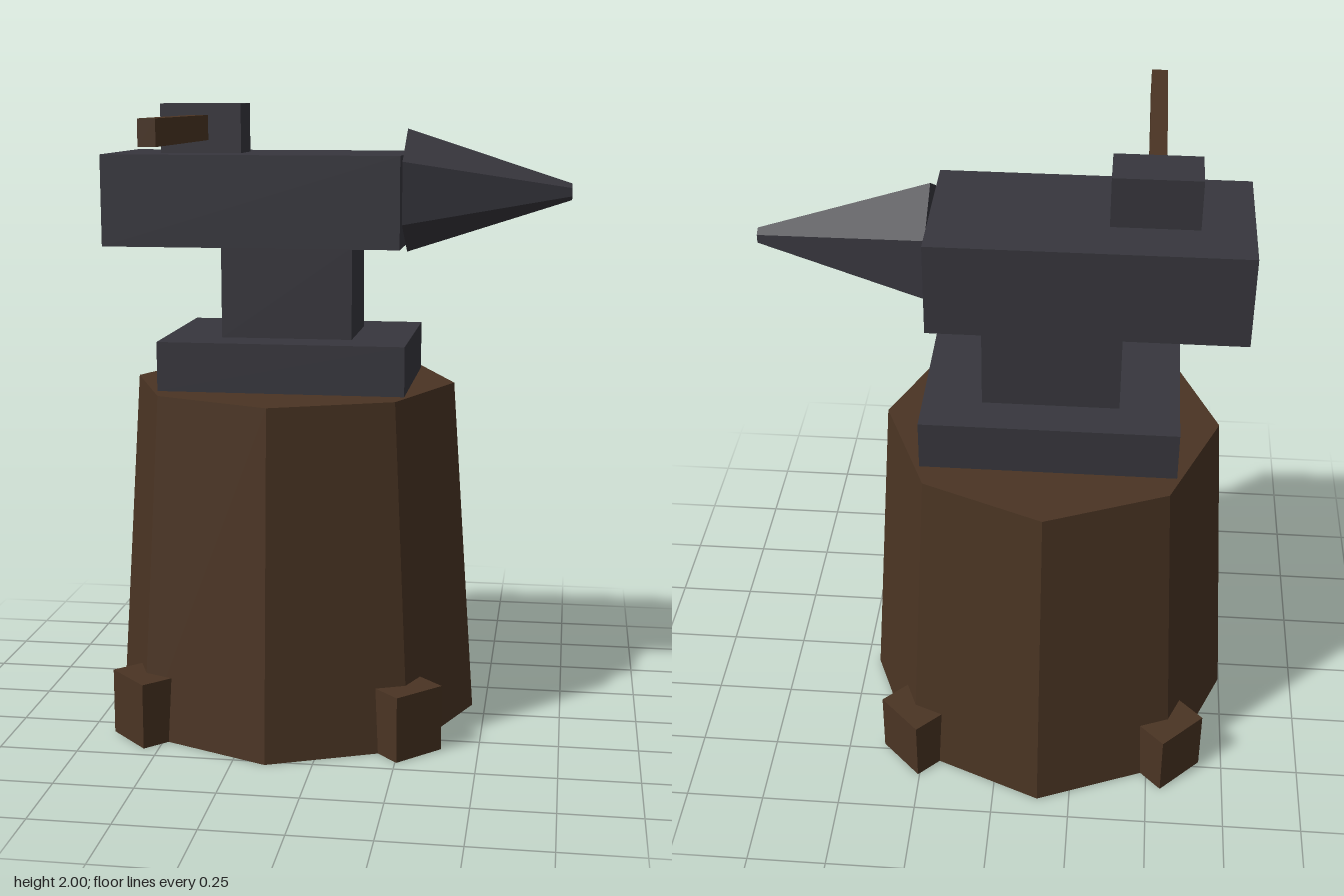
import * as THREE from 'three';

export function createModel() {
  const model = new THREE.Group();
  const wood = new THREE.MeshStandardMaterial({ color: 0x4a3423, flatShading: true });
  wood.name = 'dark wood';
  const iron = new THREE.MeshStandardMaterial({ color: 0x37363d, flatShading: true });
  iron.name = 'dark iron';

  const cx = -0.146, cz = -0.078; // shared vertical axis of stump and anvil

  const add = (name, geometry, material, x, y, z) => {
    const mesh = new THREE.Mesh(geometry, material);
    mesh.name = name;
    mesh.position.set(x, y, z);
    model.add(mesh);
    return mesh;
  };

  // Box given by its extents on each axis
  const block = (name, material, [x0, x1], [y0, y1], [z0, z1]) =>
    add(name, new THREE.BoxGeometry(x1 - x0, y1 - y0, z1 - z0), material,
      (x0 + x1) / 2, (y0 + y1) / 2, (z0 + z1) / 2);

  // Tapered eight-sided stump
  const stumpHeight = 1.105;
  add('stump', new THREE.CylinderGeometry(0.527, 0.603, stumpHeight, 8), wood, cx, stumpHeight / 2, cz);

  // Four feet set diagonally into the stump
  for (const sx of [-1, 1]) {
    for (const sz of [-1, 1]) {
      const foot = add('foot', new THREE.BoxGeometry(0.181, 0.21, 0.181), wood,
        cx + sx * 0.401, 0.105, cz + sz * 0.401);
      foot.rotation.y = Math.PI / 4;
    }
  }

  // Anvil: base, waist and body
  block('anvilBase', iron, [-0.54, 0.246], [1.105, 1.262], [-0.366, 0.21]);
  block('anvilWaist', iron, [-0.356, 0.064], [1.262, 1.556], [-0.235, 0.08]);
  block('anvilBody', iron, [-0.724, 0.223], [1.556, 1.844], [-0.315, 0.158]);

  // Six-sided horn pointing to the left, with ridges above and below
  const hornStart = 0.223, hornEnd = 0.746;
  const hornGeometry = new THREE.CylinderGeometry(0.026, 0.196, hornEnd - hornStart, 6)
    .rotateY(Math.PI / 2)
    .rotateZ(-Math.PI / 2);
  add('anvilHorn', hornGeometry, iron, (hornStart + hornEnd) / 2, 1.726, cz);

  // Hammer resting on the anvil
  block('hammerHead', iron, [-0.566, -0.304], [1.844, 2.0], [-0.158, -0.002]);
  block('hammerHandle', wood, [-0.462, -0.41], [1.885, 1.964], [-0.05, 0.682]);

  return model;
}
